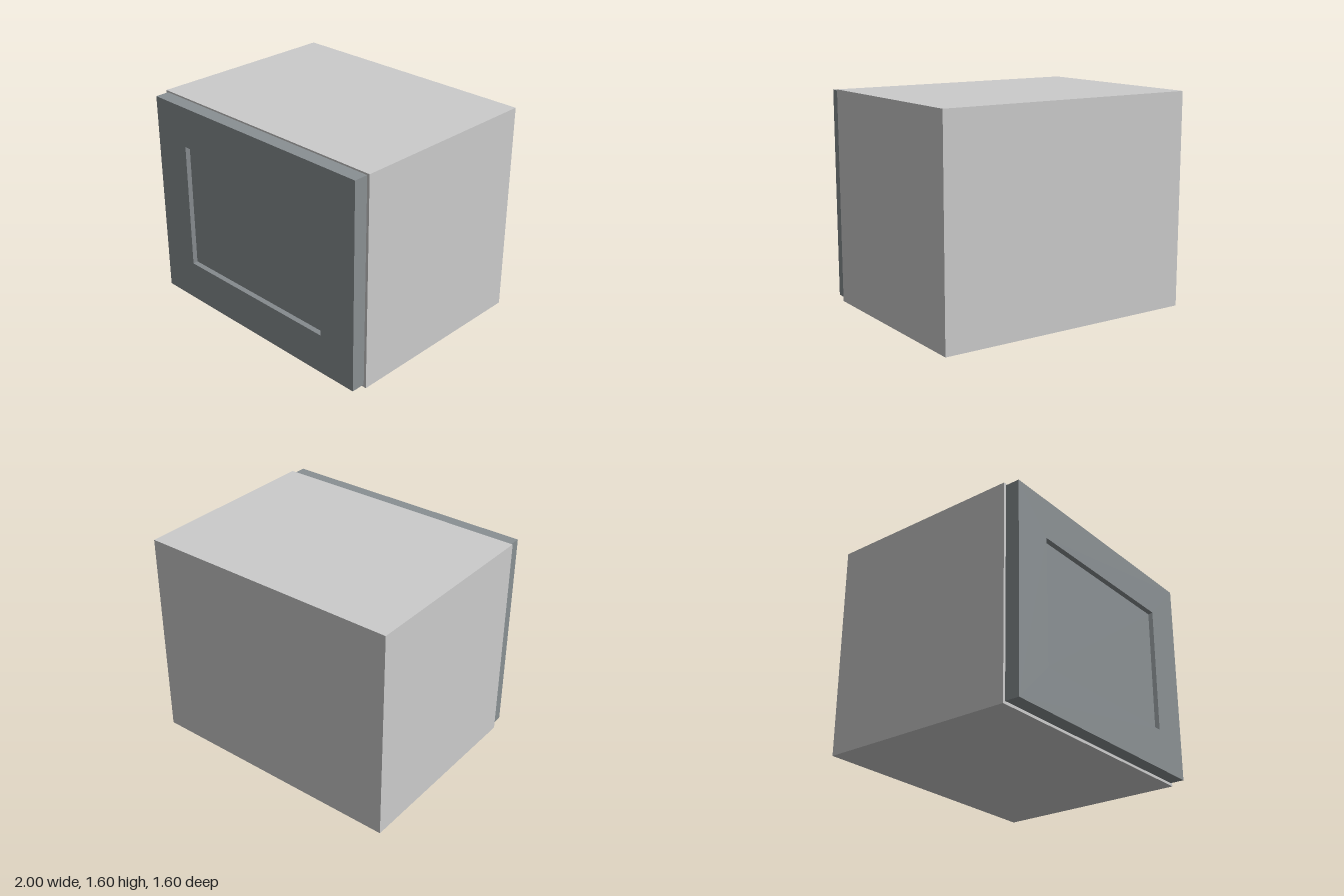
import * as THREE from 'three';

const bodyMaterial = new THREE.MeshStandardMaterial({ color: 0xcccccc });
const doorMaterial = new THREE.MeshStandardMaterial({ color: 0x8a9093 });

const HEIGHT = 1.6, BACK = -0.8, FRONT = 0.693, BOARD = 0.095;

function addMesh(parent, name, geometry, material) {
  const mesh = new THREE.Mesh(geometry, material);
  mesh.name = name;
  parent.add(mesh);
  return mesh;
}

function rectPoints(x0, y0, x1, y1) {
  return [[x0, y0], [x1, y0], [x1, y1], [x0, y1]].map(([x, y]) => new THREE.Vector2(x, y));
}

export function createModel() {
  const model = new THREE.Group();
  model.name = 'cabinet';

  // Upright side boards
  for (const [name, s] of [['leftSide', 1], ['rightSide', -1]]) {
    const side = addMesh(model, name, new THREE.BoxGeometry(BOARD, HEIGHT, FRONT - BACK), bodyMaterial);
    side.position.set(s * (1 - BOARD / 2), HEIGHT / 2, (FRONT + BACK) / 2);
  }

  // Top, back and bottom as one C-shaped section running between the sides
  const section = new THREE.Shape([
    [FRONT, 0], [FRONT, BOARD], [BACK + BOARD, BOARD], [BACK + BOARD, HEIGHT - BOARD],
    [FRONT, HEIGHT - BOARD], [FRONT, HEIGHT], [BACK, HEIGHT], [BACK, 0],
  ].map(([z, y]) => new THREE.Vector2(-z, y)));
  const width = 2 * (1 - BOARD);
  const shell = new THREE.ExtrudeGeometry(section, { depth: width, bevelEnabled: false });
  shell.translate(0, 0, -width / 2).rotateY(Math.PI / 2);
  addMesh(model, 'topBackAndBottom', shell, bodyMaterial);

  // Door frame: the opening narrows towards the back
  const door = new THREE.Group();
  door.name = 'door';
  door.position.set(0, 0.804, FRONT);
  model.add(door);

  const depth = 0.8 - FRONT, holeX = 0.678, holeY = 0.48, recess = 0.03, slope = 0.35;
  const outline = new THREE.Shape(rectPoints(-0.98, -0.784, 0.98, 0.784));
  outline.holes.push(new THREE.Path(rectPoints(-holeX, -holeY, holeX, holeY)));
  const frame = new THREE.ExtrudeGeometry(outline, { depth, bevelEnabled: false });
  const p = frame.attributes.position;
  for (let i = 0; i < p.count; i++) {
    if (Math.abs(p.getX(i)) > 0.8) continue;
    const inset = (depth - p.getZ(i)) * slope;
    p.setX(i, Math.sign(p.getX(i)) * (holeX - inset));
    p.setY(i, Math.sign(p.getY(i)) * (holeY - inset));
  }
  frame.computeVertexNormals();
  addMesh(door, 'doorFrame', frame, doorMaterial);

  // Sunken panel filling the opening
  const panelDepth = depth - recess;
  const panel = addMesh(door, 'doorPanel',
    new THREE.BoxGeometry(2 * (holeX - recess * slope), 2 * (holeY - recess * slope), panelDepth), doorMaterial);
  panel.position.z = panelDepth / 2;

  return model;
}
